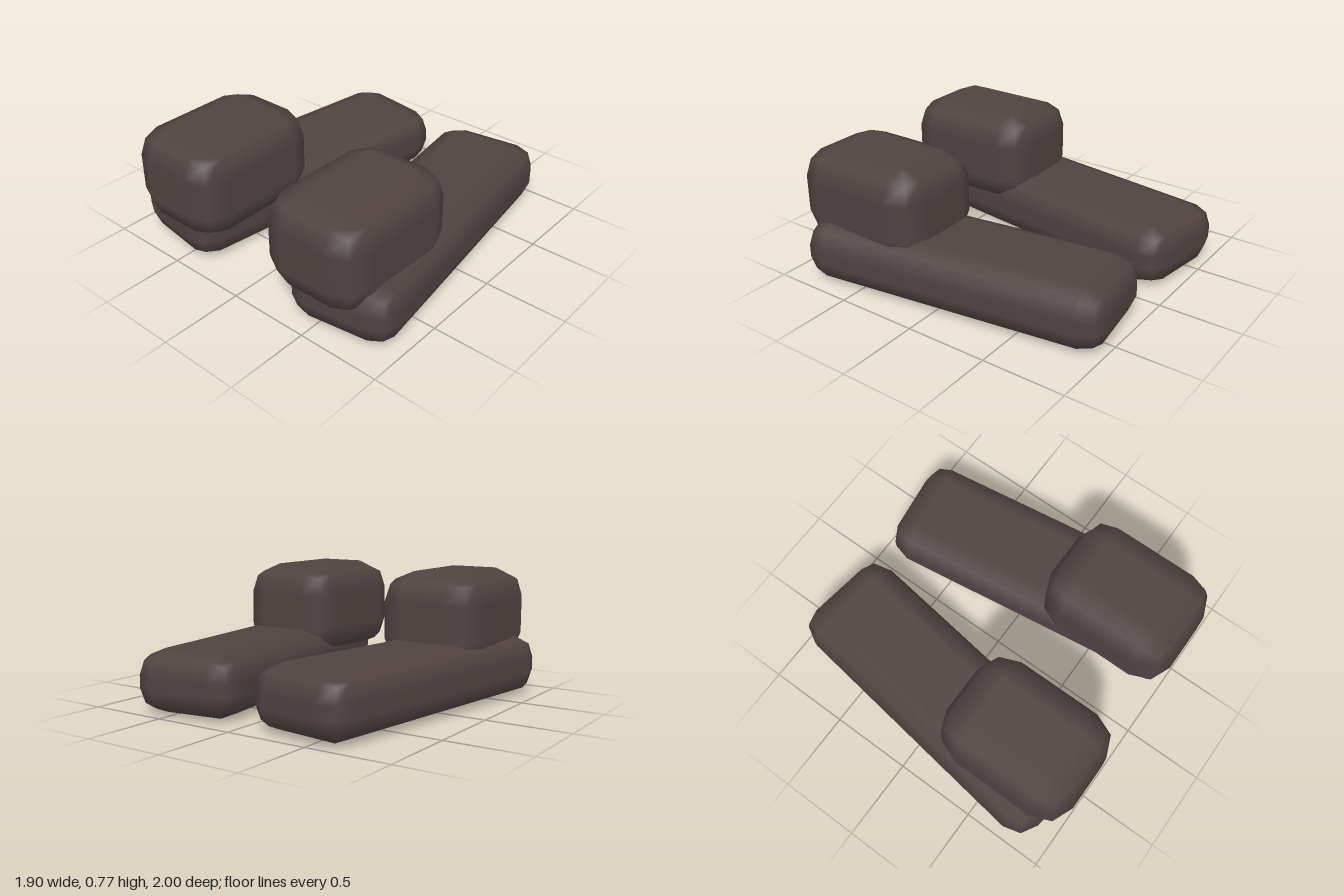
import * as THREE from 'three';

const brown = new THREE.MeshStandardMaterial({ color: 0x504341 });
brown.name = 'darkBrown';

// Box with every edge bevelled in two steps and shaded smoothly
function bevelBox(w, h, d, r) {
  const geo = new THREE.BoxGeometry(1, 1, 1, 3, 3, 3);
  const pos = geo.attributes.position;
  const nor = geo.attributes.normal;
  const inner = new THREE.Vector3(w / 2 - r, h / 2 - r, d / 2 - r);
  const p = new THREE.Vector3();
  const n = new THREE.Vector3();
  const outward = (c) => (Math.abs(c) > 0.4 ? Math.sign(c) : 0);
  for (let i = 0; i < pos.count; i++) {
    p.fromBufferAttribute(pos, i);
    n.set(outward(p.x), outward(p.y), outward(p.z)).normalize();
    p.set(Math.sign(p.x), Math.sign(p.y), Math.sign(p.z)).multiply(inner).addScaledVector(n, r);
    pos.setXYZ(i, p.x, p.y, p.z);
    nor.setXYZ(i, n.x, n.y, n.z);
  }
  return geo;
}

export function createModel() {
  const group = new THREE.Group();
  group.name = 'pairOfFeet';
  const soleGeo = bevelBox(0.662, 0.37, 1.905, 0.147);
  const blockGeo = bevelBox(0.655, 0.58, 0.88, 0.18);

  for (const [side, name] of [[1, 'left'], [-1, 'right']]) {
    const foot = new THREE.Group();
    foot.name = name + 'Foot';

    // Long low slab, turned outward at the front
    const sole = new THREE.Mesh(soleGeo, brown);
    sole.name = name + 'Sole';
    sole.position.set(side * 0.512, 0.185, -0.032);
    sole.rotation.y = side * 0.137;

    // Taller rounded block on the front of the slab
    const block = new THREE.Mesh(blockGeo, brown);
    block.name = name + 'UpperBlock';
    block.position.set(side * 0.513, 0.48, 0.56);

    foot.add(sole, block);
    group.add(foot);
  }
  return group;
}
